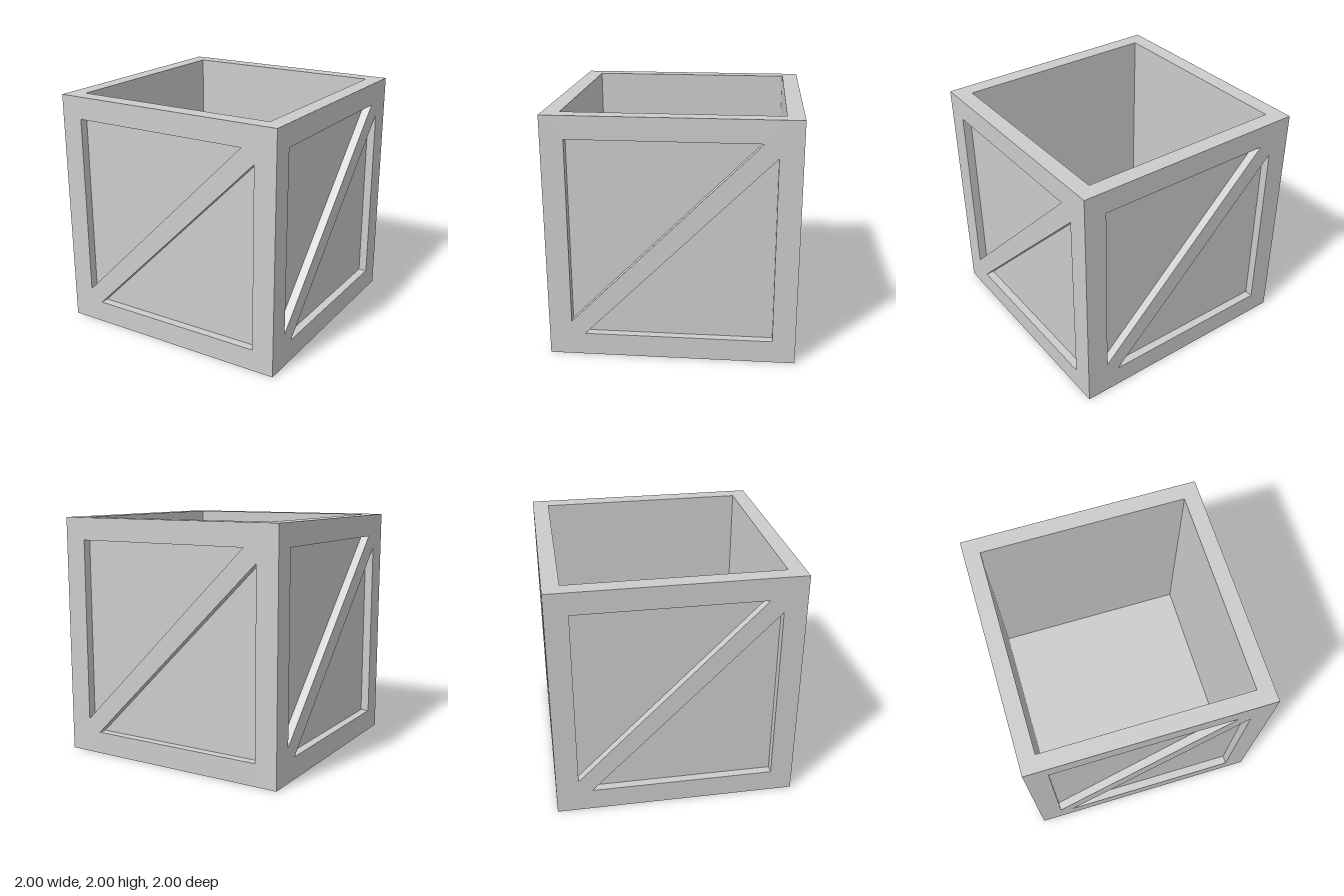
import * as THREE from 'three';

const OUT = 1;        // outer half width
const PANEL = 0.93;   // recessed panel plane
const IN = 0.865;     // inner half width
const HEIGHT = 2;
const FLOOR = 0.135;

const polygon = (points, Type = THREE.Shape) =>
  new Type(points.map(([x, y]) => new THREE.Vector2(x, y)));

const square = (h, Type) => polygon([[-h, -h], [h, -h], [h, h], [-h, h]], Type);

export function createModel() {
  const crate = new THREE.Group();
  crate.name = 'crate';
  const material = new THREE.MeshStandardMaterial({ color: 0xcccccc, flatShading: true });

  const add = (name, geometry) => {
    const mesh = new THREE.Mesh(geometry, material);
    mesh.name = name;
    crate.add(mesh);
    return mesh;
  };

  // Square tube: recessed panels outside, smooth walls inside
  const ring = square(PANEL);
  ring.holes.push(square(IN, THREE.Path));
  const walls = new THREE.ExtrudeGeometry(ring, { depth: HEIGHT, bevelEnabled: false });
  add('walls', walls.rotateX(-Math.PI / 2));

  // Floor inside the walls
  add('floor', new THREE.BoxGeometry(2 * IN, FLOOR, 2 * IN)).position.y = FLOOR / 2;

  // Frame with a diagonal brace, left by two triangular openings;
  // each frame butts against the next one at the corner
  const frame = polygon([[-OUT, 0], [PANEL, 0], [PANEL, HEIGHT], [-OUT, HEIGHT]]);
  frame.holes.push(
    polygon([[-0.815, 0.29], [-0.815, 1.815], [0.705, 1.815]], THREE.Path),
    polygon([[-0.705, 0.185], [0.815, 1.705], [0.815, 0.185]], THREE.Path),
  );
  const frameGeometry = new THREE.ExtrudeGeometry(frame, { depth: OUT - PANEL, bevelEnabled: false });
  frameGeometry.translate(0, 0, PANEL);

  ['frontFrame', 'leftFrame', 'backFrame', 'rightFrame'].forEach((name, i) => {
    add(name, frameGeometry).rotation.y = i * Math.PI / 2;
  });

  return crate;
}
